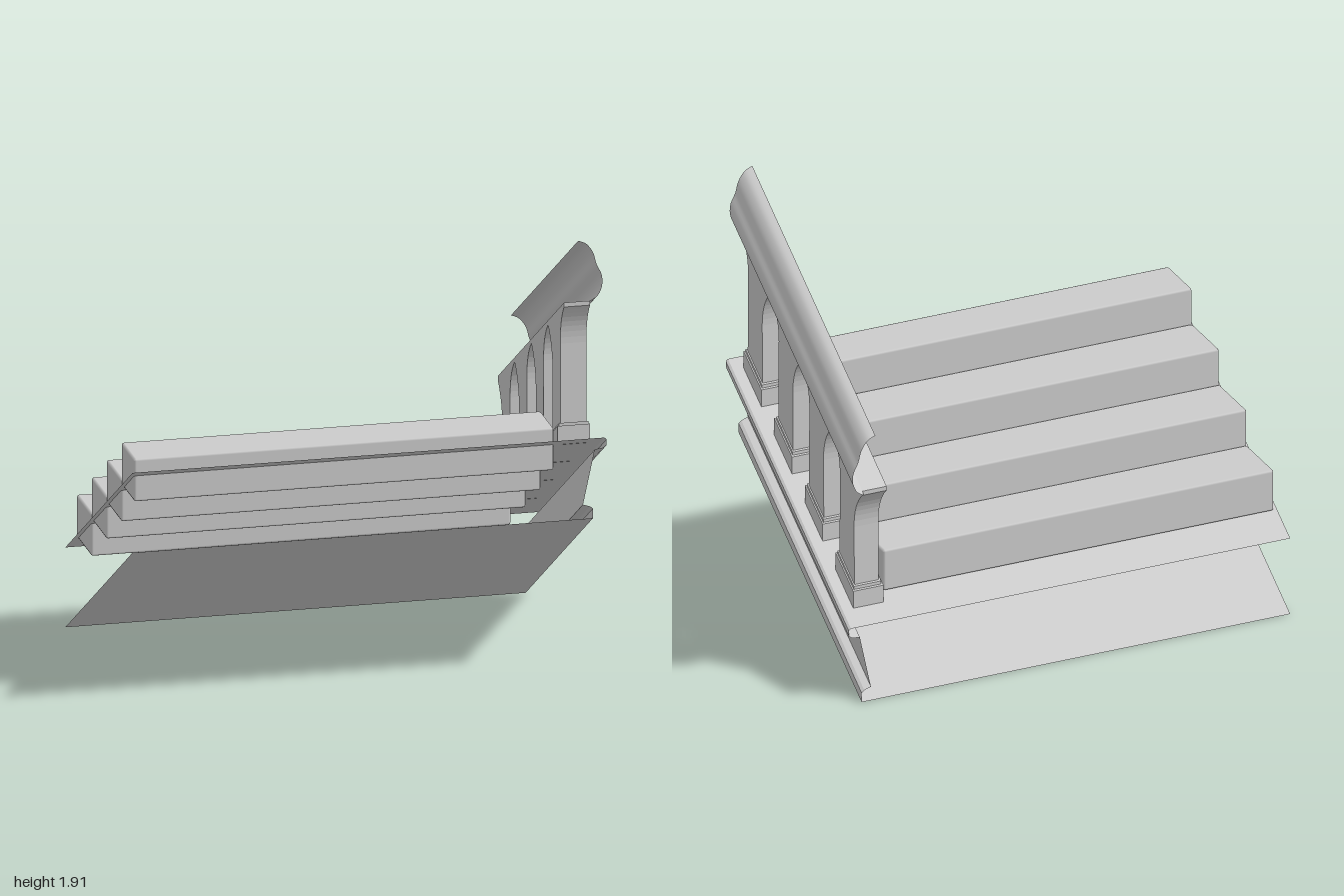
import * as THREE from 'three';
import { RoundedBoxGeometry } from 'three/addons/geometries/RoundedBoxGeometry.js';

const SLOPE = 0.593; // rise of the flight along z
const HALF = 0.595; // half the length of the flight
const rise = (y, z) => y + SLOPE * z;

const solid = new THREE.MeshStandardMaterial({ color: 0xcccccc });
const thin = new THREE.MeshStandardMaterial({ color: 0xcccccc, side: THREE.DoubleSide });

function add(parent, name, geometry, material = solid) {
  const mesh = new THREE.Mesh(geometry, material);
  mesh.name = name;
  parent.add(mesh);
  return mesh;
}

// Open sheet: an x-y profile (heights at z = 0) swept along the slope
function slopedSheet(profile, smooth) {
  const positions = [];
  const index = [];
  profile.forEach(([x, y], i) => {
    positions.push(x, rise(y, HALF), HALF, x, rise(y, -HALF), -HALF);
    if (i > 0) {
      const a = 2 * i - 2;
      index.push(a, a + 2, a + 1, a + 1, a + 2, a + 3);
    }
  });
  let geometry = new THREE.BufferGeometry();
  geometry.setAttribute('position', new THREE.Float32BufferAttribute(positions, 3));
  geometry.setIndex(index);
  if (!smooth) geometry = geometry.toNonIndexed();
  geometry.computeVertexNormals();
  return geometry;
}

// Box whose top and bottom follow the slope
function slopedBox(x0, x1, y0, y1, zMid, depth) {
  const geometry = new THREE.BoxGeometry(x1 - x0, y1 - y0, depth);
  geometry.translate((x0 + x1) / 2, (y0 + y1) / 2, zMid);
  const shear = new THREE.Matrix4().set(1, 0, 0, 0, 0, 1, SLOPE, 0, 0, 0, 1, 0, 0, 0, 0, 1);
  return geometry.applyMatrix4(shear);
}

// Column that spreads into half a pointed arch on either side
function columnGeometry(zMid) {
  const halfWidth = 0.068;
  const front = Math.min(zMid + 0.148, HALF);
  const back = Math.max(zMid - 0.148, -HALF);
  const foot = 0.7, apex = 1.275, top = 1.294;
  const zf = zMid + halfWidth, zb = zMid - halfWidth;
  const apexF = rise(apex, front), apexB = rise(apex, back);
  const shape = new THREE.Shape();
  shape.moveTo(zb - 0.005, rise(foot, zb));
  shape.lineTo(zf + 0.005, rise(foot, zf));
  shape.lineTo(zf, apexF - 0.18);
  shape.quadraticCurveTo(zf, apexF - 0.07, front, apexF);
  shape.lineTo(front, rise(top, front));
  shape.lineTo(back, rise(top, back));
  shape.lineTo(back, apexB);
  shape.quadraticCurveTo(zb, apexB - 0.07, zb, apexB - 0.18);
  const geometry = new THREE.ExtrudeGeometry(shape, { depth: 0.11, bevelEnabled: false, curveSegments: 8 });
  geometry.rotateY(-Math.PI / 2);
  geometry.translate(0.93, 0, 0);
  return geometry;
}

export function createModel() {
  const model = new THREE.Group();
  model.name = 'staircase';

  // Sloping deck, moulded outer stringer and underside as one open shell
  const shell = [
    [-1, 0.698], [0.99, 0.698], [1, 0.69], [1, 0.665], [0.985, 0.655], [0.95, 0.65],
    [0.9, 0.415], [0.93, 0.405], [0.942, 0.395], [0.942, 0.353], [-1, 0.353],
  ];
  add(model, 'stringerShell', slopedSheet(shell, false), thin);

  // Steps, from the top one down towards the back
  const steps = new THREE.Group();
  steps.name = 'steps';
  model.add(steps);
  for (let i = 0; i < 4; i++) {
    const back = 0.31 - 0.264 * i;
    const front = Math.min(back + 0.264, 0.54);
    const step = add(steps, 'step', new RoundedBoxGeometry(1.77, 0.185, front - back, 1, 0.01));
    step.position.set(-0.095, 0.998 - 0.16 * i, (front + back) / 2);
  }

  // Arcade of columns standing on plinths
  const balustrade = new THREE.Group();
  balustrade.name = 'balustrade';
  model.add(balustrade);
  for (let i = 0; i < 4; i++) {
    const z = 0.46 - 0.296 * i;
    add(balustrade, 'column', columnGeometry(z));
    add(balustrade, 'plinth', slopedBox(0.805, 0.942, 0.698, 0.775, z, 0.172));
    add(balustrade, 'plinthTrim', slopedBox(0.812, 0.936, 0.775, 0.789, z, 0.158));
  }

  // Curved handrail, a thin shell bulging outwards
  const curve = new THREE.SplineCurve([
    [0.88, 1.557], [0.915, 1.54], [0.943, 1.5], [0.957, 1.45], [0.978, 1.405],
    [0.981, 1.36], [0.965, 1.318], [0.93, 1.294],
  ].map(([x, y]) => new THREE.Vector2(x, y)));
  const rail = curve.getPoints(28).map((p) => [p.x, p.y]);
  add(model, 'handrail', slopedSheet(rail, true), thin);

  return model;
}
